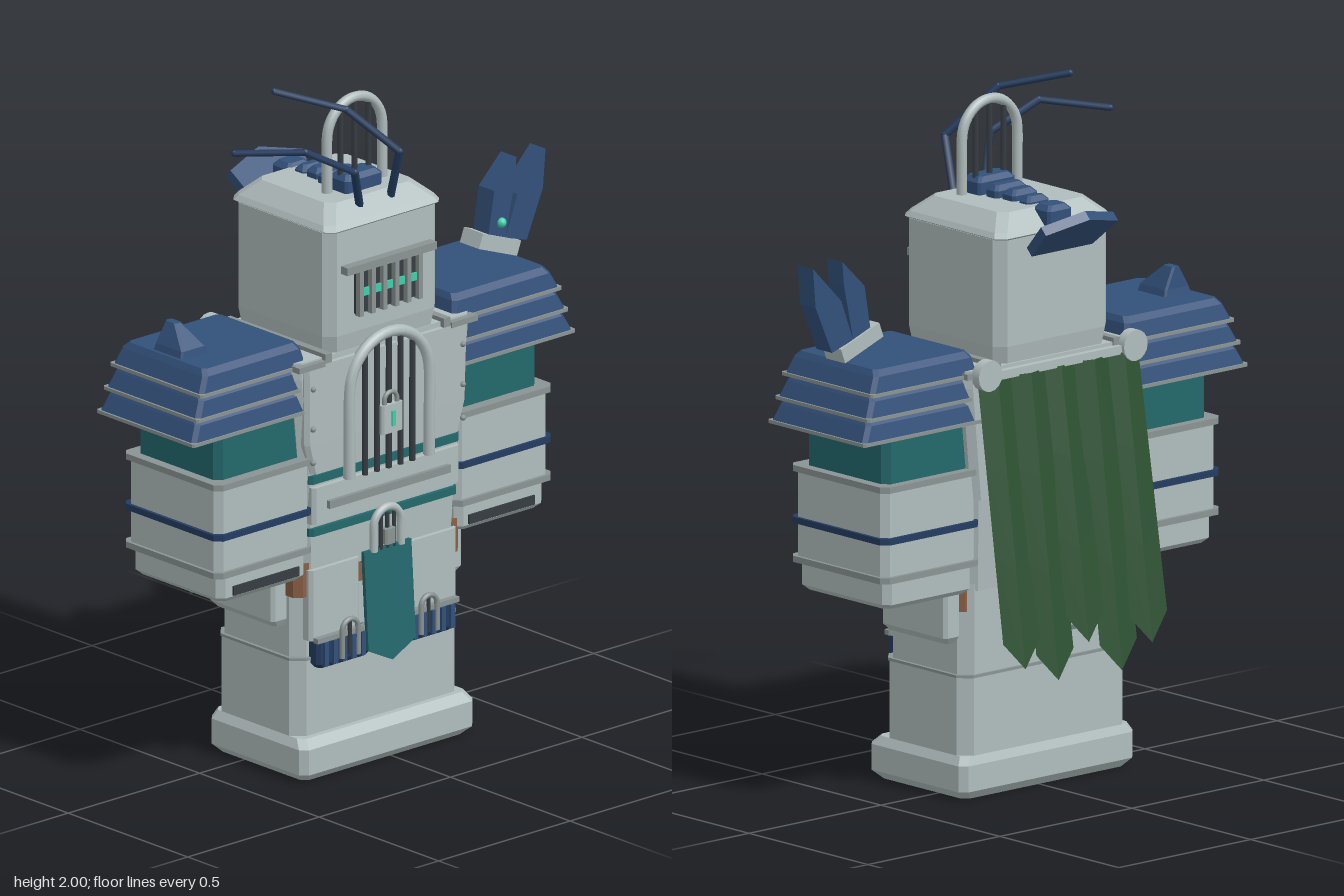
import * as THREE from 'three';

const mat = (name, color, side = THREE.FrontSide) => {
  const m = new THREE.MeshStandardMaterial({ color, side });
  m.name = name;
  return m;
};

export function createModel() {
  const stone = mat('pale stone', 0xb0bcbc), trim = mat('grey trim', 0x8a9494), dark = mat('dark iron', 0x363d42);
  const blue = mat('slate blue', 0x32507a), navy = mat('navy', 0x243c60), teal = mat('teal cloth', 0x23686c);
  const green = mat('green cloth', 0x2e5233, THREE.DoubleSide), brown = mat('brown leather', 0x8a5f45), mint = mat('mint glow', 0x3fd0ac);

  const root = new THREE.Group();
  root.name = 'armouredFigure';
  const body = new THREE.Group();
  body.name = 'body';
  body.position.x = -0.024;
  root.add(body);

  const add = (name, geo, m, x = 0, y = 0, z = 0) => {
    const o = new THREE.Mesh(geo, m);
    o.name = name;
    o.position.set(x, y, z);
    body.add(o);
    return o;
  };
  const box = (name, m, x0, x1, y0, y1, z0, z1) =>
    add(name, new THREE.BoxGeometry(x1 - x0, y1 - y0, z1 - z0), m, (x0 + x1) / 2, (y0 + y1) / 2, (z0 + z1) / 2);

  // Block with chamfered corners through levels [y, x0, x1, z0, z1]
  const loft = (name, m, levels, c = 0.02) => {
    const p = [], idx = [], n = levels.length;
    for (const [y, x0, x1, z0, z1] of levels) {
      for (const [x, z] of [[x1, z0 + c], [x1, z1 - c], [x1 - c, z1], [x0 + c, z1], [x0, z1 - c], [x0, z0 + c], [x0 + c, z0], [x1 - c, z0]]) p.push(x, y, z);
    }
    for (let l = 0; l < n - 1; l++) for (let i = 0; i < 8; i++) {
      const a = l * 8 + i, b = l * 8 + (i + 1) % 8;
      idx.push(a, a + 8, b, b, a + 8, b + 8);
    }
    const t = (n - 1) * 8;
    for (let i = 1; i < 7; i++) idx.push(0, i, i + 1, t, t + i + 1, t + i);
    let g = new THREE.BufferGeometry();
    g.setAttribute('position', new THREE.Float32BufferAttribute(p, 3));
    g.setIndex(idx);
    g = g.toNonIndexed();
    g.computeVertexNormals();
    return add(name, g, m);
  };
  const sym = (name, m, levels, c) => loft(name, m, levels.map(([y, h, z0, z1]) => [y, -h, h, z0, z1]), c);
  const side = (s, name, m, levels, c) =>
    loft(name, m, levels.map(([y, a, b, z0, z1]) => s > 0 ? [y, a, b, z0, z1] : [y, -b, -a, z0, z1]), c);

  // Upright round-topped hoop
  const arch = (name, m, x, y0, yc, r, tube, z) => {
    const path = new THREE.CurvePath();
    const v = (a, b) => new THREE.Vector3(a, b, 0);
    const pts = [v(-r, y0), v(-r, (y0 + yc) / 2)];
    for (let i = 0; i <= 10; i++) pts.push(v(-r * Math.cos(Math.PI * i / 10), yc + r * Math.sin(Math.PI * i / 10)));
    pts.push(v(r, (y0 + yc) / 2), v(r, y0));
    const geo = new THREE.TubeGeometry(new THREE.CatmullRomCurve3(pts), 40, tube, 8);
    add(name, geo, m, x, 0, z);
    for (const s of [-1, 1]) add(name + 'Foot', new THREE.CylinderGeometry(tube, tube, 0.012, 8), m, x + s * r, y0, z);
    return path;
  };
  const bars = (name, m, xs, y0, top, r, z) => xs.forEach(x =>
    add(name, new THREE.CylinderGeometry(r, r, top(x) - y0, 6), m, x, (y0 + top(x)) / 2, z));
  const plate = (name, m, pts, depth, x, y, z) =>
    add(name, new THREE.ExtrudeGeometry(new THREE.Shape(pts.map(q => new THREE.Vector2(...q))), { depth, bevelEnabled: false }), m, x, y, z);

  // Lower body
  sym('foot', stone, [[0, 0.305, -0.11, 0.25], [0.025, 0.33, -0.13, 0.275], [0.1, 0.33, -0.13, 0.275], [0.125, 0.315, -0.12, 0.25]]);
  sym('lowerLeg', stone, [[0.1, 0.315, -0.12, 0.232], [0.35, 0.315, -0.12, 0.232]], 0.035);
  sym('legSeam', trim, [[0.35, 0.318, -0.122, 0.235], [0.358, 0.318, -0.122, 0.235]], 0.035);
  sym('upperLeg', stone, [[0.358, 0.308, -0.115, 0.225], [0.62, 0.308, -0.115, 0.225]], 0.035);
  sym('hipBelt', brown, [[0.54, 0.314, -0.1, 0.232], [0.64, 0.314, -0.1, 0.232]]);
  loft('rearHipPlate', stone, [[0.44, -0.1, 0.1, -0.15, -0.13], [0.46, -0.12, 0.12, -0.166, -0.115], [0.61, -0.12, 0.12, -0.166, -0.115], [0.63, -0.1, 0.1, -0.15, -0.13]], 0.008);
  for (const s of [-1, 1]) {
    side(s, 'sideHipPlate', stone, [[0.45, 0.3, 0.345, -0.075, 0.17], [0.47, 0.3, 0.362, -0.09, 0.182], [0.62, 0.3, 0.362, -0.09, 0.182]], 0.01);
    side(s, 'frontHipPlate', stone, [[0.41, 0.09, 0.28, 0.2, 0.25], [0.62, 0.09, 0.28, 0.2, 0.25]], 0.01);
    side(s, 'hipPouch', navy, [[0.325, 0.07, 0.25, 0.2, 0.255], [0.34, 0.06, 0.265, 0.2, 0.265], [0.41, 0.06, 0.265, 0.2, 0.265]], 0.01);
    for (let i = 0; i < 5; i++) box('pouchRib', blue, s * (0.1 + i * 0.035) - 0.008, s * (0.1 + i * 0.035) + 0.008, 0.335, 0.405, 0.262, 0.274);
    box('pouchRail', trim, s * 0.16 - 0.11, s * 0.16 + 0.11, 0.405, 0.42, 0.25, 0.268);
    arch('pouchHoop', trim, s * 0.15, 0.35, 0.425, 0.03, 0.008, 0.272);
    bars('pouchBar', dark, [s * 0.15], 0.35, () => 0.45, 0.006, 0.27);
  }

  // Torso
  sym('abdomen', stone, [[0.6, 0.285, -0.12, 0.235], [0.9, 0.3, -0.14, 0.245]]);
  sym('chest', stone, [[0.87, 0.3, -0.15, 0.245], [1.2, 0.335, -0.155, 0.25], [1.25, 0.335, -0.155, 0.25]]);
  sym('lowerTealBand', teal, [[0.722, 0.28, 0.1, 0.252], [0.745, 0.28, 0.1, 0.252]], 0.01);
  sym('upperTealBand', teal, [[0.88, 0.285, 0.1, 0.256], [0.905, 0.285, 0.1, 0.256]], 0.01);
  sym('waistPlate', stone, [[0.76, 0.28, 0.1, 0.262], [0.87, 0.28, 0.1, 0.262]], 0.01);
  box('waistBar', trim, -0.23, 0.23, 0.802, 0.825, 0.255, 0.275);
  sym('chestPlate', stone, [[0.91, 0.28, 0.15, 0.26], [1.0, 0.305, 0.15, 0.262], [1.235, 0.31, 0.15, 0.265]], 0.012);
  for (const s of [-1, 1]) {
    box('collarRail', trim, s * 0.225 - 0.012, s * 0.225 + 0.012, 1.235, 1.262, -0.16, 0.265);
    box('shoulderLedge', trim, s * 0.29 - 0.05, s * 0.29 + 0.05, 1.228, 1.245, -0.16, 0.268);
    for (const y of [0.95, 1.05, 1.17]) add('chestRivet', new THREE.SphereGeometry(0.009, 8, 6), trim, s * 0.285, y, 0.265);
    const disc = add('capeDisc', new THREE.CylinderGeometry(0.045, 0.045, 0.03, 16), stone, s * 0.275, 1.235, -0.17);
    disc.rotation.x = Math.PI / 2;
  }
  box('capeRod', stone, -0.27, 0.27, 1.215, 1.24, -0.175, -0.15);

  // Barred gate and padlock
  const gateTop = x => 1.125 + Math.sqrt(0.15 ** 2 - x * x);
  arch('gateFrame', stone, 0, 0.88, 1.125, 0.152, 0.017, 0.27);
  bars('gateBar', dark, [-0.09, -0.045, 0, 0.045, 0.09], 0.87, gateTop, 0.009, 0.268);
  sym('padlock', stone, [[0.98, 0.04, 0.25, 0.287], [1.065, 0.04, 0.25, 0.287]], 0.006);
  arch('padlockShackle', trim, 0, 1.06, 1.075, 0.024, 0.007, 0.276);
  box('keyhole', mint, -0.007, 0.007, 1.0, 1.045, 0.285, 0.291);

  // Tabard with small hoop
  plate('tabard', teal, [[-0.09, 0], [-0.09, -0.29], [0, -0.335], [0.09, -0.29], [0.09, 0]], 0.012, 0, 0.635, 0.252).rotation.x = -0.065;
  arch('tabardHoop', stone, 0, 0.635, 0.7, 0.052, 0.012, 0.262);
  bars('tabardBar', dark, [-0.025, 0, 0.025], 0.63, () => 0.735, 0.006, 0.262);
  sym('tabardLock', trim, [[0.645, 0.02, 0.25, 0.28], [0.69, 0.02, 0.25, 0.28]], 0.005);

  // Arms and layered shoulders
  for (const s of [-1, 1]) {
    side(s, 'cuff', stone, [[0.6, 0.3, 0.605, -0.115, 0.23], [0.615, 0.285, 0.62, -0.13, 0.245], [0.7, 0.285, 0.62, -0.13, 0.245]]);
    box('cuffGrille', dark, s * 0.448 - 0.125, s * 0.448 + 0.125, 0.618, 0.646, 0.24, 0.25);
    side(s, 'forearm', stone, [[0.69, 0.275, 0.632, -0.135, 0.25], [0.955, 0.275, 0.632, -0.135, 0.25]]);
    for (const [name, m, y] of [['lowerArmRing', trim, 0.69], ['armBand', navy, 0.803], ['upperArmRing', trim, 0.953]])
      side(s, name, m, [[y - 0.009, 0.27, 0.642, -0.146, 0.26], [y + 0.009, 0.27, 0.642, -0.146, 0.26]]);
    side(s, 'upperArm', teal, [[0.95, 0.29, 0.612, -0.118, 0.225], [1.11, 0.29, 0.612, -0.118, 0.225]]);
    for (let i = 0; i < 3; i++) {
      const y = 1.1 + i * 0.067, w = 0.722 - i * 0.02, d = 0.006 * i;
      side(s, 'shoulderRim', trim, [[y - 0.004, 0.275, w + 0.006, -0.157 + d, 0.252 - d], [y + 0.006, 0.275, w + 0.006, -0.157 + d, 0.252 - d]], 0.006);
      side(s, 'shoulderTier', blue, [[y + 0.006, 0.28, w, -0.152 + d, 0.247 - d], [y + 0.05, 0.29, w - 0.022, -0.142 + d, 0.237 - d], [y + 0.067, 0.3, w - 0.034, -0.125 + d, 0.22 - d]], 0.012);
    }
  }
  loft('shoulderSpike', blue, [[1.295, -0.64, -0.535, -0.02, 0.105], [1.32, -0.632, -0.543, -0.015, 0.1], [1.38, -0.6, -0.575, -0.01, 0.035]], 0.006);

  // Twin blades on the left shoulder
  const socket = box('bladeSocket', stone, 0.51, 0.665, 1.325, 1.37, 0.008, 0.088);
  socket.rotation.z = -0.36;
  plate('innerBlade', blue, [[0.55, 1.385], [0.572, 1.51], [0.656, 1.592], [0.65, 1.525], [0.615, 1.36]], 0.065, 0, 0, 0.016);
  plate('outerBlade', blue, [[0.615, 1.36], [0.66, 1.48], [0.767, 1.59], [0.757, 1.475], [0.695, 1.335]], 0.065, 0, 0, 0.016);
  add('bladeGem', new THREE.SphereGeometry(0.015, 10, 8), mint, 0.598, 1.41, 0.082);

  // Head
  sym('head', stone, [[1.23, 0.205, -0.145, 0.245], [1.3, 0.215, -0.155, 0.255], [1.61, 0.215, -0.155, 0.255]], 0.03);
  sym('headRoof', stone, [[1.605, 0.205, -0.15, 0.25], [1.615, 0.22, -0.165, 0.262], [1.63, 0.21, -0.155, 0.25], [1.675, 0.162, -0.11, 0.2]], 0.025);
  box('visor', dark, -0.12, 0.12, 1.355, 1.48, 0.25, 0.264);
  box('visorGlow', mint, -0.11, 0.11, 1.405, 1.428, 0.262, 0.27);
  for (let i = 0; i < 6; i++) box('visorBar', trim, -0.12 + i * 0.045, -0.105 + i * 0.045, 1.35, 1.485, 0.258, 0.28);
  box('browBar', trim, -0.17, 0.17, 1.485, 1.508, 0.25, 0.283);

  // Crest
  arch('crestHoop', stone, 0, 1.685, 1.835, 0.105, 0.015, 0.125);
  bars('crestBar', dark, [-0.053, 0, 0.053], 1.67, x => 1.835 + Math.sqrt(0.105 ** 2 - x * x), 0.009, 0.125);
  for (const [z0, z1, h, y0, y1] of [[0.09, 0.168, 0.07, 1.67, 1.725], [0.03, 0.08, 0.06, 1.67, 1.71], [-0.03, 0.025, 0.048, 1.67, 1.705], [-0.085, -0.04, 0.042, 1.67, 1.695], [-0.175, -0.1, 0.045, 1.615, 1.685]])
    sym('crestBlock', blue, [[y0, h, z0, z1], [y1 - 0.015, h, z0, z1], [y1, h - 0.015, z0 + 0.012, z1 - 0.012]], 0.008);
  const fin = plate('rearFin', blue, [[-0.115, 0], [0.115, 0], [0.137, 0.115], [0, 0.16], [-0.137, 0.115]], 0.03, 0, 1.555, -0.18);
  fin.rotation.x = -0.82;

  // Jointed antennae
  const antenna = pts => {
    for (let i = 0; i < pts.length - 1; i++) {
      const a = new THREE.Vector3(...pts[i]), b = new THREE.Vector3(...pts[i + 1]);
      add('antenna', new THREE.TubeGeometry(new THREE.LineCurve3(a, b), 1, 0.012 - i * 0.001, 6), navy);
      add('antennaJoint', new THREE.SphereGeometry(0.0115 - i * 0.001, 6, 4), navy, b.x, b.y, b.z);
    }
  };
  antenna([[-0.063, 1.655, 0.215], [-0.145, 1.79, 0.285], [-0.286, 1.87, 0.235], [-0.412, 1.855, 0.075]]);
  antenna([[0.055, 1.655, 0.215], [0.03, 1.81, 0.28], [-0.1, 1.945, 0.2], [-0.233, 1.99, 0.045]]);

  // Cape of folded pointed strips
  [0.4, 0.34, 0.44, 0.35, 0.4].forEach((tip, i) => {
    const geo = new THREE.PlaneGeometry(0.134, 1, 2, 3), p = geo.attributes.position;
    for (let k = 0; k < p.count; k++) {
      const t = 0.5 - p.getY(k), mid = Math.abs(p.getX(k)) < 0.01;
      const end = tip + (mid ? 0 : 0.08);
      p.setXYZ(k, p.getX(k) * (0.95 + 0.1 * t), 1.22 + (end - 1.22) * t, -0.162 - 0.115 * t - (mid ? 0.016 : 0) - (i % 2) * 0.006);
    }
    const flat = geo.toNonIndexed();
    flat.computeVertexNormals();
    // Turn the sheet's faces to the rear
    const q = flat.attributes.position;
    for (let k = 0; k < q.count; k += 3) for (const get of ['X', 'Y', 'Z']) {
      const a = q['get' + get](k + 1);
      q['set' + get](k + 1, q['get' + get](k + 2));
      q['set' + get](k + 2, a);
    }
    flat.computeVertexNormals();
    add('capeStrip', flat, green, (i - 2) * 0.12);
  });
  return root;
}
